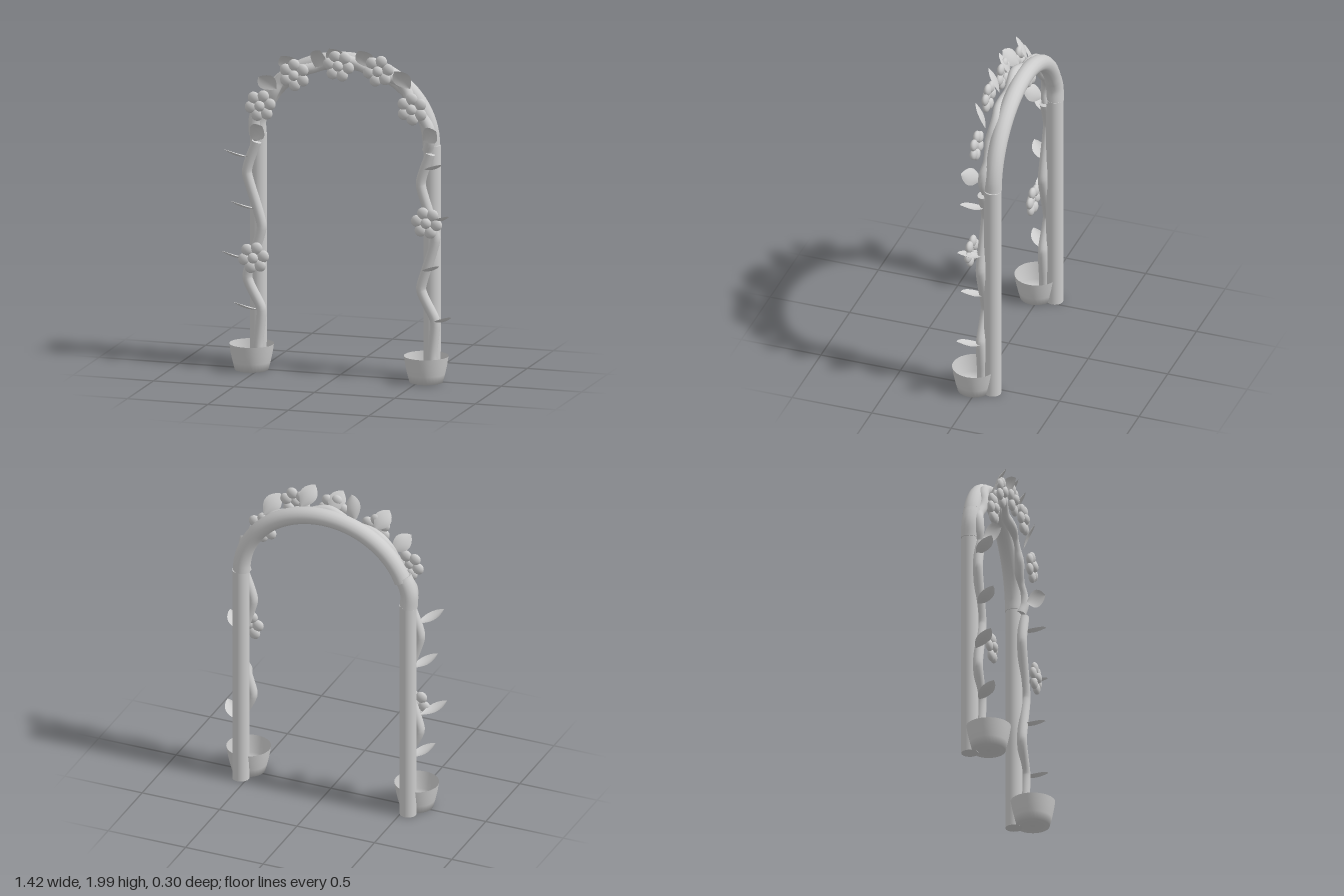
import * as THREE from 'three';

const gray = new THREE.MeshStandardMaterial({ color: 0xcccccc, side: THREE.DoubleSide });
gray.name = 'plainGray';
const V = (x, y, z) => new THREE.Vector3(x, y, z);

function add(parent, geometry, name) {
  const mesh = new THREE.Mesh(geometry, gray);
  mesh.name = name;
  parent.add(mesh);
  return mesh;
}

// Round tube through points, with flat ends
function tube(parent, points, radius, name, segments = 48, tension = 0.5) {
  const group = new THREE.Group();
  group.name = name;
  const curve = new THREE.CatmullRomCurve3(points, false, 'catmullrom', tension);
  add(group, new THREE.TubeGeometry(curve, segments, radius, 16), name + 'Stem');
  for (const t of [0, 1]) {
    const cap = add(group, new THREE.CircleGeometry(radius, 16), name + 'End');
    const p = curve.getPointAt(t);
    cap.position.copy(p);
    cap.lookAt(p.clone().addScaledVector(curve.getTangentAt(t), t ? 1 : -1));
  }
  parent.add(group);
}

// Point on the elliptical arch, angle measured from the +x side
function archPoint(a, offset, z) {
  return V(Math.cos(a) * (0.535 + offset), 1.41 + Math.sin(a) * (0.475 + offset), z);
}

// Cupped pointed leaf from base to tip; hint is roughly the face normal
function leaf(parent, base, tip, hint, halfWidth) {
  const axis = tip.clone().sub(base);
  const side = hint.clone().cross(axis).normalize();
  const normal = axis.clone().cross(side).normalize();
  const geo = new THREE.PlaneGeometry(1, 1, 6, 10);
  const pos = geo.attributes.position;
  for (let i = 0; i < pos.count; i++) {
    const s = pos.getX(i) * 2, t = pos.getY(i) + 0.5;
    const w = halfWidth * Math.pow(Math.max(0, Math.sin(Math.PI * Math.pow(t, 1.1))), 0.8);
    const lift = 0.012 * s * s * (w / halfWidth) - 0.015 * Math.sin(Math.PI * t);
    const p = base.clone().addScaledVector(axis, t).addScaledVector(side, s * w).addScaledVector(normal, lift);
    pos.setXYZ(i, p.x, p.y, p.z);
  }
  geo.computeVertexNormals();
  add(parent, geo, 'leaf');
}

// Six flattened petals round a button
function flower(parent, x, y, turn) {
  const group = new THREE.Group();
  group.name = 'flower';
  const petal = new THREE.SphereGeometry(0.036, 16, 12);
  for (let i = 0; i < 6; i++) {
    const a = turn + (i * Math.PI) / 3;
    const m = add(group, petal, 'petal');
    m.position.set(Math.cos(a) * 0.061, Math.sin(a) * 0.061, 0);
    m.scale.z = 0.6;
  }
  const button = add(group, new THREE.SphereGeometry(0.032, 16, 12), 'flowerCentre');
  button.position.z = 0.014;
  button.scale.z = 0.75;
  group.position.set(x, y, 0.036);
  parent.add(group);
}

export function createModel() {
  const model = new THREE.Group();
  model.name = 'flowerArch';

  // Posts, pots and climbing vines
  const zigzag = [[0.012, 0.05], [0.018, 0.16], [0.038, 0.36], [-0.05, 0.55], [0.04, 0.86], [-0.052, 1.18], [0.008, 1.37]];
  const potProfile = [[0, 0.003], [0.1, 0], [0.113, 0.05], [0.124, 0.1], [0.133, 0.158]];
  for (const side of [-1, 1]) {
    const x = side * 0.54;
    const post = add(model, new THREE.CylinderGeometry(0.051, 0.051, 1.41, 24), 'post');
    post.position.set(x, 0.705, -0.095);
    const pot = add(model, new THREE.LatheGeometry(potProfile.map(p => new THREE.Vector2(...p)), 32), 'pot');
    pot.position.set(x + (side < 0 ? -0.005 : 0), 0, 0.02);
    tube(model, zigzag.map(([dx, y]) => V(x + dx, y, -0.034)), 0.03, 'postVine', 60, 0.25);
  }

  // Arch, with a short elbow on the -x side
  const arch = [];
  for (let i = 0; i <= 24; i++) arch.push(archPoint(i / 24 * (Math.PI - 0.34), 0, -0.095));
  tube(model, arch, 0.052, 'archBar', 64);
  tube(model, [V(-0.544, 1.4, -0.095), V(-0.546, 1.48, -0.092), V(-0.53, 1.54, -0.09), V(-0.505, 1.59, -0.088)],
    0.053, 'archElbow', 12);

  // Wavy vine along the front of the arch
  const vine = [];
  for (let i = 0; i <= 24; i++) {
    const a = -0.06 + i / 24 * (Math.PI + 0.12);
    vine.push(archPoint(a, 0.018 * Math.sin(a * 9), -0.045 + 0.008 * Math.sin(a * 13)));
  }
  tube(model, vine, 0.032, 'archVine', 96);

  // Flowers
  const flowers = [[-0.487, 1.605], [-0.275, 1.805], [0, 1.88], [0.247, 1.865], [0.457, 1.648], [0.547, 0.965], [-0.528, 0.68]];
  flowers.forEach(([x, y], i) => flower(model, x, y, 0.2 + i * 0.35));

  // Leaves on the posts
  const up = V(0, 1, 0);
  const rows = [[0.515, -0.575, 1.27], [0.56, -0.535, 0.96], [0.5, -0.595, 0.655], [0.575, -0.52, 0.35]];
  for (const [right, left, y] of rows) {
    leaf(model, V(right, y, -0.045), V(right + 0.125, y + 0.062, 0.076), up, 0.045);
    leaf(model, V(left, y, -0.045), V(left - 0.122, y + 0.062, 0.076), up, 0.045);
  }

  // Leaves on the arch: base x, y then tip x, y
  const archLeaves = [
    [-0.56, 1.39, -0.46, 1.49], [-0.4, 1.7, -0.485, 1.79], [-0.29, 1.82, -0.345, 1.925], [-0.16, 1.85, -0.1, 1.975],
    [0, 1.88, -0.045, 1.99], [0.19, 1.87, 0.135, 1.99], [0.43, 1.76, 0.36, 1.88], [0.51, 1.45, 0.62, 1.535],
  ];
  for (const [bx, by, tx, ty] of archLeaves) leaf(model, V(bx, by, -0.01), V(tx, ty, 0.077), V(0, 0, 1), 0.053);

  return model;
}
